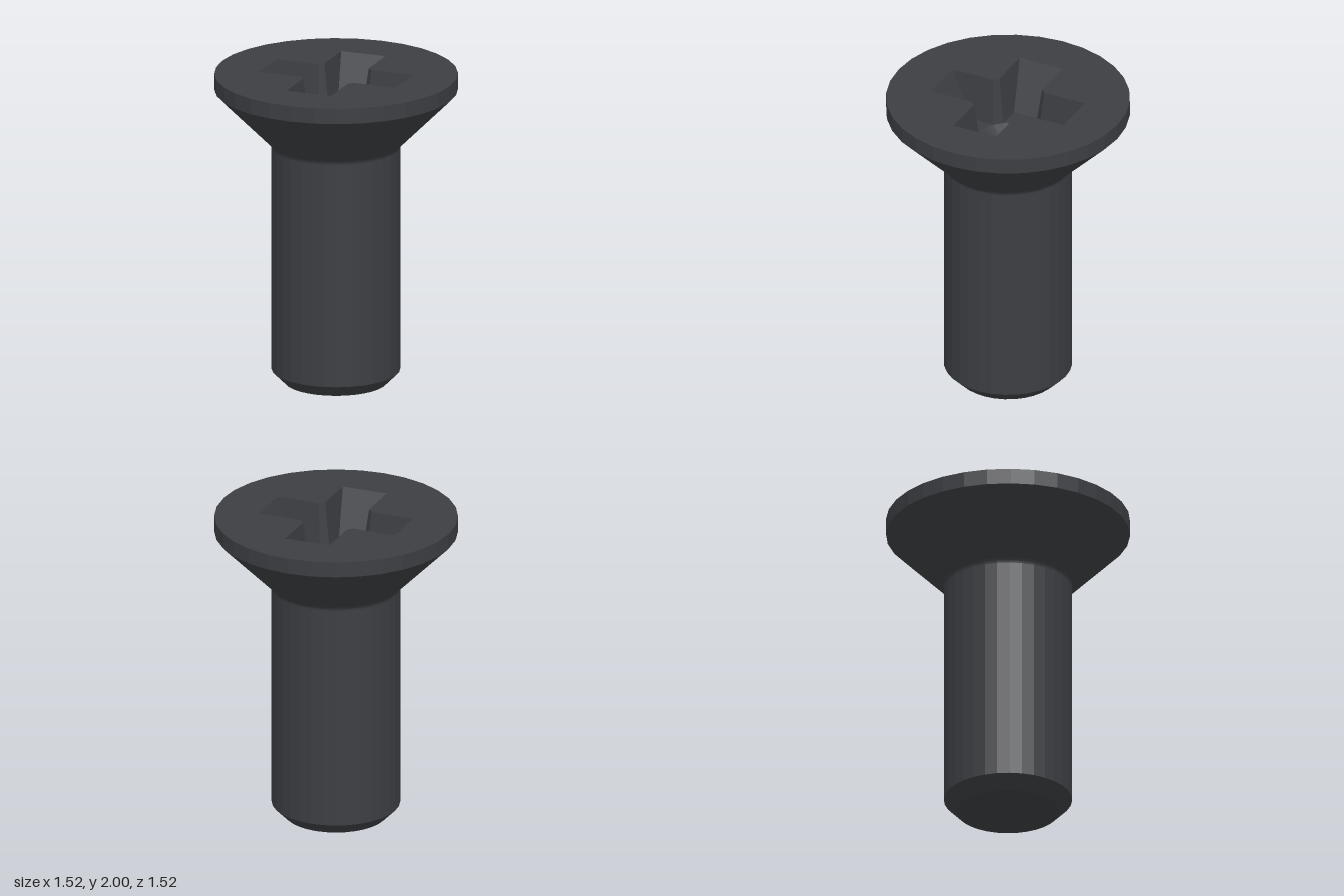
import * as THREE from 'three';

const TOP = 2, DEPTH = 0.3, PIT = 0.1, SIDES = 32;
const material = new THREE.MeshStandardMaterial({ color: 0x3c3e42, flatShading: true });

// Repeat a set of [x, y] points around the four arms of the cross
const fourfold = (pts) => [0, 1, 2, 3].flatMap((k) => pts.map(([x, y]) =>
  new THREE.Vector2(x, y).rotateAround(new THREE.Vector2(), k * Math.PI / 2)));

// Upward-facing band between an outer ring at y0 and an inner ring at y1
function band(outer, y0, inner, y1) {
  const pos = [];
  const put = (p, y) => pos.push(p.x, y, -p.y);
  outer.forEach((a, i) => {
    const j = (i + 1) % outer.length;
    put(a, y0); put(outer[j], y0); put(inner[j], y1);
    put(a, y0); put(inner[j], y1); put(inner[i], y1);
  });
  const g = new THREE.BufferGeometry();
  g.setAttribute('position', new THREE.Float32BufferAttribute(pos, 3));
  g.computeVertexNormals();
  return g;
}

const flat = (shape, y) => new THREE.ShapeGeometry(shape).rotateX(-Math.PI / 2).translate(0, y, 0);

export function createModel() {
  const screw = new THREE.Group();
  screw.name = 'countersunkScrew';
  const add = (name, geometry, parent = screw) => {
    const mesh = new THREE.Mesh(geometry, material);
    mesh.name = name;
    parent.add(mesh);
  };
  const lathe = (pts) => new THREE.LatheGeometry(pts.map(([r, y]) => new THREE.Vector2(r, y)), SIDES);

  // Shank with chamfered tip, and the tapered head with a small fillet at the neck
  add('shank', lathe([[0, 0], [0.32, 0], [0.4, 0.08], [0.4, 1.525]]));
  add('head', lathe([[0.4, 1.525], [0.403, 1.538], [0.412, 1.552], [0.76, 1.9], [0.76, TOP]]));

  // Cross outlines at the top face and at the recess floor
  const rimOutline = fourfold([[0.46, -0.148], [0.46, 0.148], [0.178, 0.148], [0.148, 0.178]]);
  const floorOutline = fourfold([[0.305, -0.11], [0.305, 0.11], [0.155, 0.11], [0.11, 0.155]]);

  // Head face with the cross cut out
  const disc = Array.from({ length: SIDES }, (_, i) => {
    const a = i / SIDES * Math.PI * 2;
    return new THREE.Vector2(0.76 * Math.cos(a), 0.76 * Math.sin(a));
  });
  const face = new THREE.Shape(disc);
  face.holes.push(new THREE.Path(rimOutline));
  add('headFace', flat(face, TOP));

  // Recess: sloping walls, four arm floors and a shallow conical pit
  const recess = new THREE.Group();
  recess.name = 'crossRecess';
  screw.add(recess);
  const floorY = TOP - DEPTH;
  add('recessWalls', band(rimOutline, TOP, floorOutline, floorY), recess);

  const half = Math.atan2(0.11, 0.155), r = Math.hypot(0.11, 0.155);
  const arc = Array.from({ length: 9 }, (_, i) => {
    const a = half * (i / 4 - 1);
    return [r * Math.cos(a), r * Math.sin(a)];
  });
  const armFloor = [[0.305, 0.11], [0.305, -0.11], ...arc].map(([x, y]) => new THREE.Vector2(x, y));
  for (let k = 0; k < 4; k++) {
    add('armFloor', flat(new THREE.Shape(armFloor), floorY).rotateY(k * Math.PI / 2), recess);
  }
  const pitRim = fourfold(arc);
  add('pit', band(pitRim, floorY, pitRim.map((p) => p.clone().multiplyScalar(0.001)), floorY - PIT), recess);

  return screw;
}
